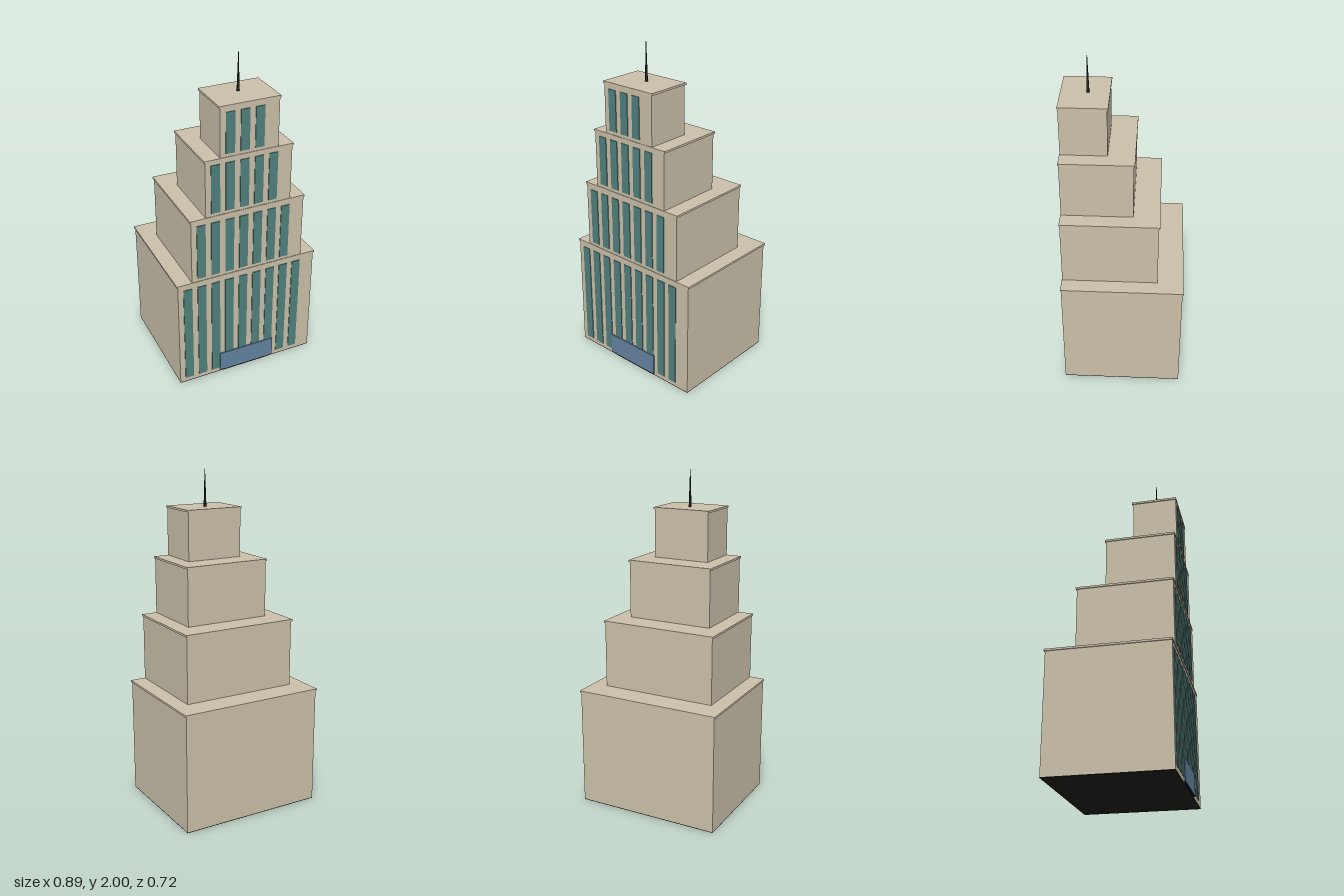
import * as THREE from 'three';

const material = (name, color) => {
  const m = new THREE.MeshStandardMaterial({ color });
  m.name = name;
  return m;
};

export function createModel() {
  const stone = material('stone', 0xc9bea8);
  const glass = material('window glass', 0x4f7f7c);
  const blue = material('entrance blue', 0x6482a0);
  const dark = material('dark metal', 0x1c1e1a);

  const model = new THREE.Group();
  model.name = 'steppedTower';

  // Box given by its minimum and maximum corners
  const box = (name, mat, x0, x1, y0, y1, z0, z1, parent = model) => {
    const mesh = new THREE.Mesh(new THREE.BoxGeometry(x1 - x0, y1 - y0, z1 - z0), mat);
    mesh.position.set((x0 + x1) / 2, (y0 + y1) / 2, (z0 + z1) / 2);
    mesh.name = name;
    parent.add(mesh);
    return mesh;
  };

  const front = 0.353;      // all tiers share one front wall
  const lip = 0.006;        // overhang of the roof slabs
  const slab = 0.012;       // thickness of the roof slabs
  const pitch = 0.088;      // window spacing

  // Tiers: half width, back z, bottom, top, window count, window bottom and top
  const tiers = [
    { w: 0.441, back: -0.355, y0: 0.004, y1: 0.72, n: 9, wy0: 0.03, wy1: 0.68 },
    { w: 0.353, back: -0.208, y0: 0.72, y1: 1.13, n: 7, wy0: 0.74, wy1: 1.09 },
    { w: 0.264, back: -0.061, y0: 1.13, y1: 1.48, n: 5, wy0: 1.15, wy1: 1.447 },
    { w: 0.176, back: 0.087, y0: 1.48, y1: 1.78, n: 3, wy0: 1.50, wy1: 1.742 },
  ];

  tiers.forEach((t, i) => {
    const tier = new THREE.Group();
    tier.name = `tier${i + 1}`;
    model.add(tier);
    box('walls', stone, -t.w, t.w, t.y0, t.y1 - slab, t.back, front, tier);
    box('roofSlab', stone, -t.w - lip, t.w + lip, t.y1 - slab, t.y1, t.back - lip, front + 0.003, tier);
    // Window strips start near the left edge of the facade
    for (let k = 0; k < t.n; k++) {
      const x = -t.w + 0.06 + k * pitch;
      box('windowStrip', glass, x - 0.027, x + 0.027, t.wy0, t.wy1, front - 0.002, front + 0.004, tier);
    }
  });

  // Dark underside
  box('foundation', dark, -0.441, 0.441, 0, 0.004, -0.355, front);

  // Entrance panel with a dark threshold
  box('entrance', blue, -0.179, 0.179, 0.013, 0.14, front - 0.002, front + 0.0075);
  box('threshold', dark, -0.158, 0.158, 0.004, 0.013, front - 0.002, front + 0.006);

  // Tapered roof mast
  const mast = new THREE.Mesh(new THREE.CylinderGeometry(0.0015, 0.0085, 0.22, 12), dark);
  mast.position.set(0, 1.89, 0.203);
  mast.name = 'mast';
  model.add(mast);

  return model;
}
